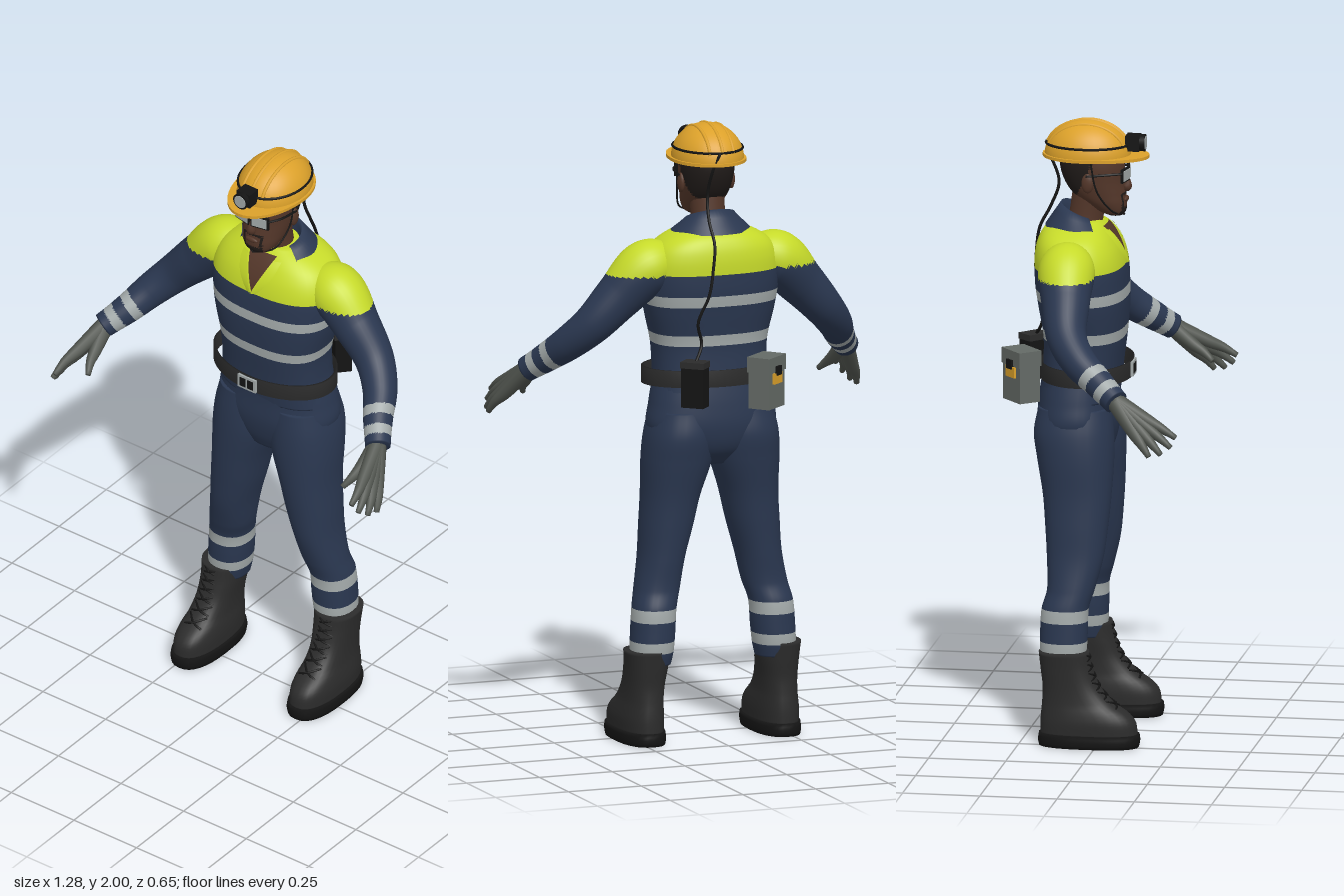
import * as THREE from 'three';

const mat = (name, color, side = THREE.FrontSide) => {
  const m = new THREE.MeshStandardMaterial({ color, side });
  m.name = name;
  return m;
};
const V = (x, y, z) => new THREE.Vector3(x, y, z);

// Closed skin over rings of equal length, with both ends capped
function skinRings(rings) {
  const n = rings[0].length, pos = [], idx = [];
  rings.forEach((r) => r.forEach((p) => pos.push(p.x, p.y, p.z)));
  for (let i = 0; i < rings.length - 1; i++) for (let j = 0; j < n; j++) {
    const a = i * n + j, b = i * n + (j + 1) % n;
    idx.push(a, a + n, b, b, a + n, b + n);
  }
  [0, rings.length - 1].forEach((r, end) => {
    const c = rings[r].reduce((s, p) => s.add(p), V(0, 0, 0)).divideScalar(n), k = pos.length / 3;
    pos.push(c.x, c.y, c.z);
    for (let j = 0; j < n; j++) {
      const a = r * n + j, b = r * n + (j + 1) % n;
      if (end) idx.push(a, k, b); else idx.push(a, b, k);
    }
  });
  const g = new THREE.BufferGeometry();
  g.setAttribute('position', new THREE.Float32BufferAttribute(pos, 3));
  g.setIndex(idx);
  g.computeVertexNormals();
  return g;
}

// Smooth interpolation of rows [y, centreX, halfWidth, zFront, zBack]
function rowAt(rows, y) {
  let i = 0;
  while (i < rows.length - 2 && y > rows[i + 1][0]) i++;
  const a = rows[i], b = rows[i + 1], p = rows[Math.max(i - 1, 0)], q = rows[Math.min(i + 2, rows.length - 1)];
  const h = b[0] - a[0], t = THREE.MathUtils.clamp((y - a[0]) / h, 0, 1), t2 = t * t, t3 = t2 * t;
  return a.map((v, k) => {
    const m0 = (b[k] - p[k]) / (b[0] - p[0]) * h, m1 = (q[k] - v) / (q[0] - a[0]) * h;
    return (2 * t3 - 3 * t2 + 1) * v + (t3 - 2 * t2 + t) * m0 + (3 * t2 - 2 * t3) * b[k] + (t3 - t2) * m1;
  });
}
// Stack of superellipse sections going up
function loft(rows, { side = 1, sides = 32, step = 0.01, n = 2.3 } = {}) {
  const y0 = rows[0][0], y1 = rows[rows.length - 1][0], count = Math.round((y1 - y0) / step), rings = [];
  const pw = (v) => Math.sign(v) * Math.abs(v) ** (2 / n);
  for (let i = 0; i <= count; i++) {
    const y = y0 + (y1 - y0) * i / count, [, xc, rx, zf, zb] = rowAt(rows, y);
    rings.push(Array.from({ length: sides }, (_, j) => {
      const t = j / sides * Math.PI * 2;
      return V(side * xc + rx * pw(Math.cos(t)), y, (zf + zb) / 2 + (zf - zb) / 2 * pw(Math.sin(t)));
    }));
  }
  return skinRings(rings);
}
// Tapered tube through points [x, y, z, radius]
function sweep(pts, segs = 12, sides = 10, side = 1) {
  const curve = new THREE.CatmullRomCurve3(pts.map((p) => V(p[0] * side, p[1], p[2])));
  const radius = new THREE.SplineCurve(pts.map((p, i) => new THREE.Vector2(i, p[3])));
  const f = curve.computeFrenetFrames(segs), rings = [];
  for (let i = 0; i <= segs; i++) {
    const c = curve.getPointAt(i / segs), r = radius.getPoint(curve.getUtoTmapping(i / segs)).y;
    rings.push(Array.from({ length: sides }, (_, j) => {
      const t = j / sides * Math.PI * 2;
      return c.clone().addScaledVector(f.normals[i], r * Math.cos(t)).addScaledVector(f.binormals[i], -r * Math.sin(t));
    }));
  }
  return skinRings(rings);
}
// Sorts faces into one group per colour, chosen by face centre
function paint(geo, mats, pick) {
  const buckets = mats.map(() => []), p = geo.attributes.position, id = geo.index.array, c = V(0, 0, 0), v = V(0, 0, 0);
  for (let i = 0; i < id.length; i += 3) {
    c.set(0, 0, 0);
    for (let k = 0; k < 3; k++) c.add(v.fromBufferAttribute(p, id[i + k]));
    buckets[pick(c.divideScalar(3))].push(id[i], id[i + 1], id[i + 2]);
  }
  geo.setIndex(buckets.flat());
  let start = 0;
  buckets.forEach((b, i) => { geo.addGroup(start, b.length, i); start += b.length; });
  return geo;
}
// Bent sheet from a function of u, v in 0..1
function sheet(nu, nv, fn) {
  const g = new THREE.PlaneGeometry(1, 1, nu, nv), p = g.attributes.position;
  for (let i = 0; i < p.count; i++) p.setXYZ(i, ...fn(p.getX(i) + 0.5, p.getY(i) + 0.5));
  g.computeVertexNormals();
  return g;
}

export function createModel() {
  const root = new THREE.Group();
  root.name = 'worker';
  const navy = mat('navy cloth', 0x2a3750, THREE.DoubleSide), lime = mat('lime cloth', 0xc6da2a, THREE.DoubleSide);
  const silver = mat('silver', 0xa3aaaa), boot = mat('boot rubber', 0x2b2b2b), skin = mat('skin', 0x533629, THREE.DoubleSide);
  const yellow = mat('helmet yellow', 0xdca12a), glove = mat('glove grey', 0x51554f), black = mat('black', 0x141414);
  const hair = mat('hair', 0x201b19), grey = mat('box grey', 0x646a66);
  const add = (name, geo, m, x = 0, y = 0, z = 0, parent = root) => {
    const mesh = new THREE.Mesh(geo, m);
    mesh.name = name;
    mesh.position.set(x, y, z);
    parent.add(mesh);
    return mesh;
  };
  const box = (w, h, d) => new THREE.BoxGeometry(w, h, d);

  // Jacket body with lime yoke and reflective bands
  const torso = [[1.1, 0, 0.2, 0.03, -0.215], [1.16, 0, 0.19, 0.038, -0.21], [1.22, 0, 0.186, 0.045, -0.205],
    [1.3, 0, 0.19, 0.055, -0.205], [1.4, 0, 0.212, 0.062, -0.22], [1.47, 0, 0.222, 0.06, -0.23], [1.53, 0, 0.225, 0.055, -0.232],
    [1.58, 0, 0.215, 0.042, -0.23], [1.62, 0, 0.19, 0.022, -0.22], [1.65, 0, 0.145, 0, -0.2], [1.675, 0, 0.08, -0.025, -0.16]];
  const within = (y, a, b) => y > a && y < b;
  add('jacket', paint(loft(torso, { sides: 48, step: 0.005, n: 2.5 }), [navy, lime, silver], ({ y }) =>
    y > 1.53 ? 1 : within(y, 1.425, 1.46) || within(y, 1.295, 1.33) ? 2 : 0), [navy, lime, silver]);
  const chestZ = (x, y) => {
    const [, , rx, zf, zb] = rowAt(torso, y);
    return (zf + zb) / 2 + (zf - zb) / 2 * Math.max(0, 1 - Math.abs(x / rx) ** 2.5) ** 0.4;
  };
  // Open neck and lapels
  add('openNeck', sheet(8, 12, (u, v) => {
    const x = (u * 2 - 1) * 0.052 * v, y = 1.535 + v * 0.125;
    return [x, y, chestZ(x, y) + 0.004];
  }), skin);
  for (const s of [-1, 1]) add('lapel', sheet(4, 10, (u, v) => {
    const x = s * (0.05 * v + u * 0.035 * Math.sin(Math.PI * (0.15 + 0.6 * v))), y = 1.535 + v * 0.115;
    return [x, y, chestZ(x, y) + 0.012 - u * 0.006];
  }), lime);
  add('collar', sheet(32, 6, (u, v) => {
    const a = (0.17 + u * 0.66) * Math.PI * 2, back = (1 - Math.cos(a)) / 2;
    const k = v < 0.5 ? v * 2 : 2 - v * 2, r = v < 0.5 ? 0.066 + 0.014 * k : 0.14 - 0.06 * k;
    return [Math.sin(a) * r, 1.642 + k * (0.03 + 0.045 * back) + 0.012 * back, -0.085 + Math.cos(a) * r * 0.85];
  }), navy);

  // Trousers
  add('hips', loft([[0.9, 0, 0.09, 0, -0.15], [0.95, 0, 0.16, 0.02, -0.2], [1.02, 0, 0.212, 0.033, -0.222],
    [1.1, 0, 0.205, 0.032, -0.22], [1.2, 0, 0.183, 0.035, -0.205]], { sides: 40 }), navy);
  const leg = [[0.26, 0.212, 0.062, -0.045, -0.178], [0.3, 0.21, 0.068, -0.038, -0.186], [0.36, 0.206, 0.07, -0.035, -0.187],
    [0.44, 0.2, 0.07, -0.032, -0.183], [0.5, 0.185, 0.072, -0.015, -0.168], [0.6, 0.166, 0.073, 0.01, -0.172], [0.7, 0.149, 0.083, 0.022, -0.18],
    [0.8, 0.134, 0.092, 0.03, -0.19], [0.92, 0.115, 0.111, 0.035, -0.212], [1.0, 0.108, 0.111, 0.033, -0.223], [1.08, 0.1, 0.1, 0.025, -0.21]];
  // Boots, lofted from sole to shaft
  const upper = [[0.035, 0.232, 0.068, 0.132, -0.182], [0.08, 0.232, 0.07, 0.125, -0.182], [0.11, 0.231, 0.067, 0.1, -0.18],
    [0.14, 0.23, 0.062, 0.055, -0.177], [0.19, 0.228, 0.061, 0.01, -0.175], [0.25, 0.225, 0.066, -0.016, -0.182], [0.305, 0.225, 0.071, -0.028, -0.188]];
  const arm = [[0.14, 1.555, -0.1, 0.07], [0.22, 1.545, -0.1, 0.091], [0.31, 1.46, -0.088, 0.077], [0.395, 1.37, -0.07, 0.064],
    [0.455, 1.305, -0.02, 0.056], [0.5, 1.25, 0.05, 0.048], [0.548, 1.2, 0.115, 0.041]];
  // Each finger: knuckle, then tip
  const fingers = [[[0.574, 1.148, 0.225], [0.592, 1.102, 0.315]], [[0.584, 1.131, 0.22], [0.61, 1.073, 0.302]],
    [[0.594, 1.116, 0.205], [0.625, 1.052, 0.272]], [[0.6, 1.108, 0.186], [0.633, 1.046, 0.235]], [[0.53, 1.145, 0.185], [0.508, 1.1, 0.25]]];
  for (const s of [1, -1]) {
    const side = s > 0 ? 'left' : 'right';
    add(side + 'TrouserLeg', paint(loft(leg, { side: s, sides: 28, step: 0.005, n: 2.2 }), [navy, silver], ({ y }) =>
      within(y, 0.4, 0.44) || within(y, 0.3, 0.335) ? 1 : 0), [navy, silver]);
    add(side + 'Boot', loft(upper, { side: s, n: 2.4 }), boot);
    add(side + 'Sole', loft([[0, 0.232, 0.072, 0.135, -0.186], [0.02, 0.232, 0.075, 0.14, -0.19], [0.042, 0.232, 0.073, 0.137, -0.187]],
      { side: s, n: 2.5 }), black);
    for (let i = 0; i < 6; i++) {
      const y = 0.125 + i * 0.03, z0 = rowAt(upper, y)[3], z1 = rowAt(upper, y + 0.025)[3];
      for (const d of [-1, 1]) add(side + 'Lace', sweep([[s * 0.228 - d * 0.032, y, z0 - 0.012, 0.004],
        [s * 0.228, y + 0.013, (z0 + z1) / 2 + 0.003, 0.004], [s * 0.228 + d * 0.032, y + 0.025, z1 - 0.012, 0.004]], 4, 5), black);
    }
    // Sleeves with lime shoulders and cuff bands
    add(side + 'Sleeve', paint(sweep(arm, 120, 32, s), [navy, lime, silver], (c) => {
      const d = (Math.abs(c.x) - 0.49) * 0.54 - (c.y - 1.262) * 0.52 + (c.z - 0.04) * 0.66;
      return c.y > 1.53 ? 1 : within(d, -0.016, 0.016) || within(d, 0.052, 0.084) ? 2 : 0;
    }), [navy, lime, silver]);
    fingers.forEach(([k, t], i) => add(side + (i < 4 ? 'GloveFinger' : 'GloveThumb'),
      sweep([[0.542, 1.207, 0.106, 0.028], [...k, i < 4 ? 0.021 : 0.02], [(k[0] + t[0]) / 2 + 0.004, (k[1] + t[1]) / 2 + 0.003, (k[2] + t[2]) / 2, 0.015],
        [...t, 0.009]], 14, 10, s), glove));
  }

  // Belt, buckle and the two belt boxes
  const belt = add('belt', new THREE.LatheGeometry([[0.96, -0.027], [1, -0.027], [1, 0.027], [0.96, 0.027], [0.96, -0.027]]
    .map((p) => new THREE.Vector2(...p)), 56), boot, 0, 1.19, -0.07);
  belt.scale.set(0.222, 1, 0.148);
  add('buckle', box(0.07, 0.048, 0.008), silver, 0, 1.19, 0.08);
  for (const x of [-0.015, 0.015]) add('buckleGap', box(0.022, 0.032, 0.004), black, x, 1.19, 0.0835);
  const pouch = (name, x, z, turn) => {
    const g = new THREE.Group();
    g.name = name;
    g.position.set(x, 1.185, z);
    g.rotation.y = turn;
    root.add(g);
    return g;
  };
  const rescue = pouch('rescueBox', -0.125, -0.262, Math.PI + 0.7);
  add('case', box(0.105, 0.165, 0.075), grey, 0, -0.005, 0, rescue);
  add('lid', box(0.112, 0.05, 0.082), grey, 0, 0.055, 0, rescue);
  add('label', box(0.055, 0.035, 0.008), yellow, 0, 0.01, 0.04, rescue);
  add('latch', box(0.03, 0.03, 0.012), black, 0, 0.035, 0.042, rescue);
  const battery = pouch('lampBattery', 0.12, -0.262, Math.PI - 0.75);
  add('case', box(0.075, 0.14, 0.055), black, 0, 0, 0, battery);
  add('lid', box(0.08, 0.02, 0.06), boot, 0, 0.068, 0, battery);

  // Head, neck and face
  add('neck', sweep([[0, 1.59, -0.085, 0.068], [0, 1.67, -0.075, 0.056], [0, 1.77, -0.06, 0.056]], 10, 20), skin);
  const head = [[1.69, 0, 0.03, 0.045, 0], [1.702, 0, 0.048, 0.055, -0.03], [1.73, 0, 0.064, 0.058, -0.075], [1.76, 0, 0.073, 0.055, -0.115],
    [1.8, 0, 0.081, 0.05, -0.142], [1.85, 0, 0.087, 0.05, -0.157], [1.91, 0, 0.084, 0.04, -0.155]];
  add('head', paint(loft(head, { sides: 48, step: 0.005, n: 2.2 }), [skin, hair], ({ x, y, z }) => {
    const ax = Math.abs(x), backHair = y > 1.755 && z < -0.075 + (y - 1.8) * 0.5;
    const beard = z > 0 && ax < 0.036 && (y < 1.718 || within(y, 1.757, 1.766) || (y < 1.766 && ax > 0.027));
    return backHair || beard ? 1 : 0;
  }), [skin, hair]);
  add('nose', sweep([[0, 1.825, 0.046, 0.009], [0, 1.8, 0.058, 0.012], [0, 1.78, 0.058, 0.016], [0, 1.772, 0.05, 0.01]], 10, 12), skin);
  const lips = add('lips', new THREE.SphereGeometry(1, 16, 10), skin, 0, 1.742, 0.056);
  lips.scale.set(0.024, 0.009, 0.008);
  for (const s of [1, -1]) {
    const ear = add('ear', new THREE.SphereGeometry(1, 14, 10), skin, s * 0.086, 1.805, -0.055);
    ear.scale.set(0.011, 0.032, 0.02);
    // Safety glasses
    add('glassesFrame', box(0.064, 0.044, 0.008), black, s * 0.034, 1.826, 0.058).rotation.y = s * 0.2;
    add('glassesLens', box(0.053, 0.033, 0.008), silver, s * 0.034, 1.826, 0.061).rotation.y = s * 0.2;
    add('glassesArm', sweep([[0.064, 1.835, 0.053, 0.004], [0.086, 1.835, 0.01, 0.004], [0.091, 1.828, -0.06, 0.004]], 8, 6, s), black);
    add('chinStrap', sweep([[0.094, 1.88, -0.045, 0.003], [0.088, 1.78, -0.025, 0.003], [0.062, 1.712, 0.02, 0.003], [0, 1.69, 0.05, 0.003]], 16, 6, s), black);
  }

  // Hard hat
  const dome = add('helmetDome', new THREE.SphereGeometry(1, 40, 16, 0, Math.PI * 2, 0, Math.PI / 2), yellow, 0, 1.884, -0.068);
  dome.scale.set(0.113, 0.112, 0.139);
  const outline = new THREE.Shape(Array.from({ length: 48 }, (_, i) => {
    const t = i / 48 * Math.PI * 2, z = Math.sin(t);
    return new THREE.Vector2(0.12 * Math.cos(t), -0.07 + z * (z > 0 ? 0.2 : 0.143));
  }));
  add('helmetBrim', new THREE.ExtrudeGeometry(outline, { depth: 0.01, bevelEnabled: false }).rotateX(Math.PI / 2), yellow, 0, 1.887, 0);
  for (const x of [-0.04, 0, 0.04]) {
    const k = Math.sqrt(1 - (x / 0.113) ** 2);
    add('helmetRidge', sweep(Array.from({ length: 11 }, (_, i) => {
      const t = 0.3 + i / 10 * (Math.PI - 0.6);
      return [x, 1.882 + 0.112 * k * Math.sin(t), -0.068 + 0.139 * k * Math.cos(t), 0.006];
    }), 24, 8), yellow);
  }
  const band = add('lampBand', new THREE.TorusGeometry(1, 0.035, 6, 48).rotateX(Math.PI / 2), black, 0, 1.92, -0.068);
  band.scale.set(0.109, 0.12, 0.134);

  // Cap lamp and its cable
  add('lampBody', box(0.052, 0.05, 0.045), black, 0, 1.926, 0.079);
  add('lampRim', new THREE.CylinderGeometry(0.028, 0.026, 0.02, 24).rotateX(Math.PI / 2), black, 0, 1.926, 0.108);
  add('lampLens', new THREE.CylinderGeometry(0.022, 0.022, 0.006, 24).rotateX(Math.PI / 2), silver, 0, 1.926, 0.117);
  add('lampCable', sweep([[0.01, 1.92, -0.203], [0.03, 1.87, -0.195], [0.04, 1.78, -0.168], [0.045, 1.7, -0.195], [0.04, 1.63, -0.23], [0.05, 1.55, -0.243],
    [0.065, 1.47, -0.247], [0.1, 1.38, -0.238], [0.085, 1.31, -0.23], [0.12, 1.25, -0.26]].map((p) => [...p, 0.005]), 60, 8), black);

  return root;
}
